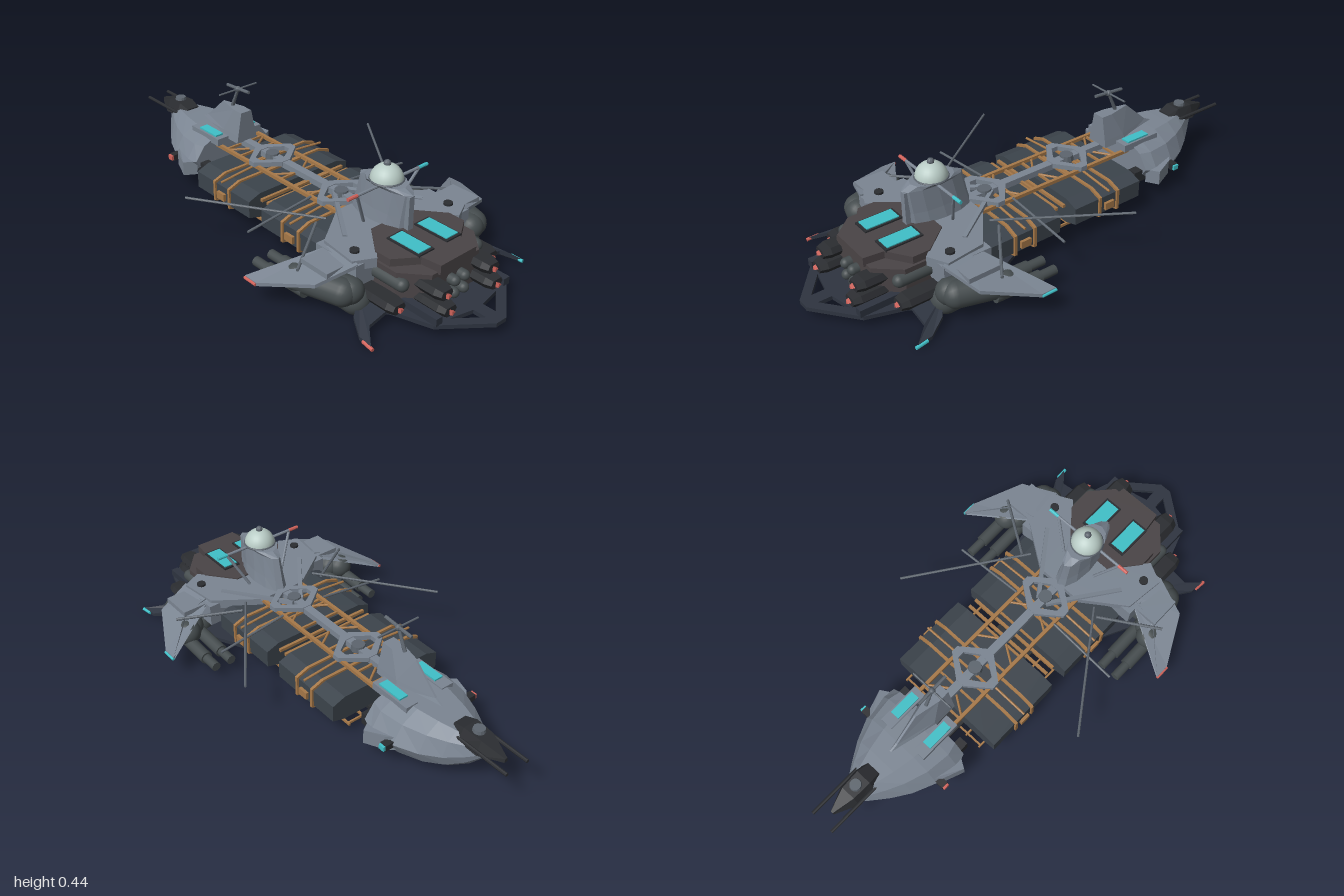
import * as THREE from 'three';

const mat = (c, flat = true) => new THREE.MeshStandardMaterial({ color: c, flatShading: flat });
const HULL = mat(0x7b8592), DECK = mat(0x4a4446), CARGO = mat(0x3c444c), ORANGE = mat(0xa67848),
  CYAN = mat(0x40c0c8), RED = mat(0xd0625a), BLACK = mat(0x2b2d31), PLATE = mat(0x2e3440),
  POD = mat(0x454c4e, false), DOME = mat(0xb9ccc6, false), STEEL = mat(0x5d656e);

export function createModel() {
  const root = new THREE.Group();
  const add = (name, geo, m) => {
    const mesh = new THREE.Mesh(geo, m);
    mesh.name = name;
    root.add(mesh);
    return mesh;
  };
  const box = (name, m, w, h, d, x, y, z) => add(name, new THREE.BoxGeometry(w, h, d).translate(x, y, z), m);
  // round bar between two points
  const rod = (name, m, a, b, r, r2 = r, sides = 8) => {
    const A = new THREE.Vector3(...a), B = new THREE.Vector3(...b);
    const mesh = add(name, new THREE.CylinderGeometry(r2, r, A.distanceTo(B), sides), m);
    mesh.position.copy(A).lerp(B, 0.5);
    mesh.quaternion.setFromUnitVectors(new THREE.Vector3(0, 1, 0), B.sub(A).normalize());
    return mesh;
  };
  // closed solid through equal-sized rings of [x, y, z]; faces always turned outward
  const loft = (name, m, rings) => {
    const n = rings[0].length, idx = [], pos = rings.flat(2);
    for (let r = 0; r < rings.length - 1; r++) for (let i = 0; i < n; i++) {
      const a = r * n + i, b = r * n + (i + 1) % n;
      idx.push(a, b, b + n, a, b + n, a + n);
    }
    const last = (rings.length - 1) * n;
    for (let i = 1; i < n - 1; i++) idx.push(0, i + 1, i, last, last + i, last + i + 1);
    const p = i => new THREE.Vector3().fromArray(pos, i * 3);
    let vol = 0;
    for (let i = 0; i < idx.length; i += 3) vol += p(idx[i]).dot(p(idx[i + 1]).cross(p(idx[i + 2])));
    if (vol < 0) idx.reverse();
    let g = new THREE.BufferGeometry();
    g.setAttribute('position', new THREE.Float32BufferAttribute(pos, 3));
    g.setIndex(idx);
    g = g.toNonIndexed();
    g.computeVertexNormals();
    return add(name, g, m);
  };
  // horizontal plate from an [x, z] outline
  const plate = (name, m, pts, y0, y1, holes = []) => {
    const v = l => l.map(q => new THREE.Vector2(...q));
    const s = new THREE.Shape(v(pts));
    holes.forEach(h => s.holes.push(new THREE.Path(v(h))));
    return add(name, new THREE.ExtrudeGeometry(s, { depth: y1 - y0, bevelEnabled: false })
      .rotateX(Math.PI / 2).translate(0, y1, 0), m);
  };
  const mirrored = half => [...half, ...half.slice().reverse().filter(q => q[0] !== 0).map(([x, ...r]) => [-x, ...r])];
  // thin fin: corners [x, y, z] given a thickness in y
  const fin = (name, m, pts, t, s) => loft(name, m, [t / 2, -t / 2].map(d => pts.map(([x, y, z]) => [x * s, y + d, z])));
  const capsule = (name, r, len, x, y, z, yaw = 0) => {
    const c = add(name, new THREE.CapsuleGeometry(r, len, 8, 20).rotateX(Math.PI / 2), POD);
    c.position.set(x, y, z);
    c.rotation.y = yaw;
  };

  // bow hull from cross-sections: z, half width, bottom, top
  const bowRing = mirrored([[0.42, 1], [0.78, 0.8], [1, 0.42], [0.85, 0.15], [0.5, 0]]);
  loft('bowHull', HULL, [[-0.45, 0.19, 0.07, 0.222], [-0.5, 0.205, 0.042, 0.225], [-0.6, 0.19, 0.038, 0.225],
    [-0.69, 0.15, 0.042, 0.222], [-0.76, 0.105, 0.06, 0.218], [-0.82, 0.06, 0.1, 0.212], [-0.86, 0.03, 0.145, 0.2]]
    .map(([z, w, b, t]) => bowRing.map(([x, y]) => [x * w, b + y * (t - b), z])));
  // bow weapon mount
  loft('bowTurret', BLACK, [[-0.73, 0.045, 0.2, 0.225], [-0.78, 0.055, 0.19, 0.24], [-0.86, 0.05, 0.18, 0.235], [-0.95, 0.008, 0.19, 0.205]]
    .map(([z, w, b, t]) => [[w, b, z], [w * 0.6, t, z], [-w * 0.6, t, z], [-w, b, z]]));
  add('turretCap', new THREE.CylinderGeometry(0.022, 0.026, 0.02, 12).translate(0, 0.24, -0.82), STEEL);
  // bow fin and mast
  const wedge = (y, w, za, zm, zf) => [[w, y, za], [w, y, zm], [0.004, y, zf], [-0.004, y, zf], [-w, y, zm], [-w, y, za]];
  loft('bowFin', HULL, [wedge(0.21, 0.05, -0.35, -0.46, -0.67), wedge(0.24, 0.045, -0.35, -0.45, -0.61), wedge(0.34, 0.026, -0.35, -0.4, -0.5)]);
  rod('mast', STEEL, [0, 0.34, -0.44], [0, 0.425, -0.4], 0.008, 0.006);
  rod('mastCrossbar', STEEL, [-0.095, 0.425, -0.4], [0.095, 0.425, -0.4], 0.004);
  rod('mastBoom', STEEL, [0, 0.432, -0.33], [0, 0.422, -0.47], 0.007);
  add('mastHub', new THREE.SphereGeometry(0.013, 10, 8).translate(0, 0.425, -0.4), STEEL);

  // cargo blocks and their straps
  const block = (name, m, z0, z1, g) => loft(name, m, [z0, z1].map(z =>
    mirrored([[0.2 + g, 0.175 + g], [0.255 + g, 0.155 + g], [0.255 + g, 0.085 - g], [0.2 + g, 0.07 - g]]).map(([x, y]) => [x, y, z])));
  [[-0.35, -0.02], [0.055, 0.38]].forEach(([a, b]) => {
    block('cargoBlock', CARGO, a, b, 0);
    const c = a < 0 ? -0.185 : 0.225;
    [-0.045, 0.045].forEach(d => block('cargoStrap', ORANGE, c + d - 0.006, c + d + 0.006, 0.008));
    for (const s of [-1, 1]) {
      box('strapBuckle', ORANGE, 0.012, 0.03, 0.045, s * 0.263, 0.115, c);
      rod('strapTie', ORANGE, [s * 0.26, 0.175, c], [s * 0.1, 0.19, c], 0.005);
    }
  });
  // lattice above and below the cargo
  for (const s of [-1, 1]) {
    box('upperRail', ORANGE, 0.014, 0.014, 0.86, s * 0.095, 0.194, 0);
    [0.05, 0.13, 0.2].forEach(x => box('lowerRail', ORANGE, 0.007, 0.01, 0.72, s * x, 0.061, -0.02));
    for (const z of [-0.36, -0.08, 0.11, 0.32])
      rod('latticeBrace', ORANGE, [s * 0.095, 0.193, z], [s * 0.02, 0.193, z + 0.05], 0.005);
  }
  for (let i = 0; i < 9; i++) {
    const z = -0.37 + i * 0.085;
    box('lowerRung', ORANGE, 0.4, 0.009, 0.007, 0, 0.061, z);
    box('upperRung', ORANGE, 0.19, 0.009, 0.009, 0, 0.191, z);
  }
  [0, 0.035].forEach(z => box('gapGirder', ORANGE, 0.42, 0.012, 0.012, 0, 0.155, z));
  box('keel', BLACK, 0.18, 0.014, 0.8, 0, 0.066, -0.1);
  // central spine with diamond frames
  box('spine', HULL, 0.034, 0.025, 0.78, 0, 0.2, -0.05);
  [-0.185, 0.22].forEach(z => {
    const diamond = (w, l) => [[w, z + 0.015], [0.02, z + l], [-0.02, z + l], [-w, z + 0.015], [-w, z - 0.015], [-0.02, z - l], [0.02, z - l], [w, z - 0.015]];
    plate('diamondFrame', HULL, diamond(0.11, 0.085), 0.195, 0.215, [diamond(0.075, 0.052)]);
    add('frameHub', new THREE.CylinderGeometry(0.027, 0.03, 0.024, 12).translate(0, 0.208, z), STEEL);
  });

  // stern body, shoulders and decks
  plate('sternBody', DECK, mirrored([[0.17, 0.36], [0.2, 0.45], [0.2, 0.7], [0.12, 0.79]]), 0.05, 0.178);
  plate('upperDeck', DECK, mirrored([[0.1, 0.48], [0.19, 0.59], [0.19, 0.66], [0.1, 0.72], [0.09, 0.8]]), 0.17, 0.208);
  plate('shoulderDeck', HULL, mirrored([[0.1, 0.3], [0.27, 0.42], [0.29, 0.58], [0.21, 0.62], [0.12, 0.52]]), 0.165, 0.203);
  const cut = [[0.025, 0.9], [0.12, 0.88], [0.025, 0.955]];
  plate('bottomPlate', PLATE, mirrored([[0.22, 0.24], [0.3, 0.4], [0.32, 0.62], [0.24, 0.72], [0.19, 0.87], [0.025, 1]]), 0.036, 0.052,
    [cut, cut.map(([x, z]) => [-x, z])]);
  // command tower with dome
  const oval = (y, w, z0, z1) => Array.from({ length: 12 }, (_, i) => {
    const a = i / 12 * Math.PI * 2;
    return [Math.cos(a) * w, y, (z0 + z1) / 2 + Math.sin(a) * (z1 - z0) / 2];
  });
  loft('commandTower', HULL, [oval(0.19, 0.054, 0.285, 0.56), oval(0.25, 0.045, 0.3, 0.565), oval(0.345, 0.036, 0.32, 0.575)]);
  loft('towerCap', HULL, [oval(0.345, 0.045, 0.32, 0.58), oval(0.362, 0.062, 0.36, 0.54)]);
  box('towerRib', HULL, 0.025, 0.15, 0.02, 0, 0.265, 0.565);
  add('dome', new THREE.SphereGeometry(0.062, 24, 10, 0, Math.PI * 2, 0, Math.PI / 2).translate(0, 0.36, 0.45), DOME);
  add('domeRing', new THREE.TorusGeometry(0.061, 0.005, 6, 24).rotateX(Math.PI / 2).translate(0, 0.363, 0.45), STEEL);
  add('domeKnob', new THREE.SphereGeometry(0.014, 10, 8).translate(0, 0.424, 0.45), STEEL);

  for (const s of [-1, 1]) {
    const LIGHT = s > 0 ? CYAN : RED;
    // bow fittings
    rod('bowBarrel', BLACK, [s * 0.05, 0.2, -0.77], [s * 0.05, 0.2, -1], 0.007);
    box('bowPanelFrame', HULL, 0.055, 0.03, 0.18, s * 0.085, 0.215, -0.49);
    box('bowPanel', CYAN, 0.038, 0.008, 0.11, s * 0.085, 0.233, -0.48);
    box('sideLightMount', BLACK, 0.05, 0.025, 0.03, s * 0.195, 0.115, -0.585);
    box('sideLight', LIGHT, 0.01, 0.02, 0.025, s * 0.224, 0.115, -0.585);
    fin('bowCheek', HULL, [[0.17, 0.11, -0.6], [0.2, 0.11, -0.57], [0.23, 0.1, -0.49], [0.18, 0.1, -0.46]], 0.06, s);
    box('cheekThruster', BLACK, 0.04, 0.05, 0.06, s * 0.15, 0.1, -0.44);
    // tower yard
    rod('towerYard', HULL, [0, 0.355, 0.46], [s * 0.16, 0.355, 0.46], 0.006);
    rod('yardLight', LIGHT, [s * 0.155, 0.355, 0.46], [s * 0.2, 0.355, 0.46], 0.007);
    rod('yardBrace', HULL, [s * 0.155, 0.352, 0.46], [s * 0.08, 0.205, 0.42], 0.006);
    // stern deck panels
    box('deckPanelFrame', BLACK, 0.075, 0.01, 0.155, s * 0.07, 0.209, 0.64);
    box('deckPanel', CYAN, 0.06, 0.008, 0.135, s * 0.07, 0.214, 0.64);
    add('deckHatch', new THREE.CylinderGeometry(0.018, 0.018, 0.012, 12).translate(s * 0.24, 0.206, 0.54), BLACK);
    box('shoulderBlock', HULL, 0.09, 0.09, 0.2, s * 0.245, 0.145, 0.5);
    box('deckPost', ORANGE, 0.02, 0.03, 0.02, s * 0.125, 0.185, 0.41);
    // wings swept toward the bow
    fin('wing', HULL, [[0.24, 0.195, 0.46], [0.38, 0.17, 0.44], [0.53, 0.105, 0.3], [0.53, 0.105, 0.36], [0.43, 0.15, 0.55], [0.28, 0.19, 0.6]], 0.014, s);
    rod('wingTip', LIGHT, [s * 0.531, 0.104, 0.3], [s * 0.531, 0.104, 0.36], 0.006);
    box('wingRoot', HULL, 0.1, 0.02, 0.13, s * 0.34, 0.178, 0.5);
    // lower fins
    fin('lowerFin', PLATE, [[0.27, 0.055, 0.6], [0.345, 0.035, 0.65], [0.385, 0.012, 0.72], [0.39, 0.01, 0.78], [0.34, 0.035, 0.72], [0.26, 0.055, 0.72]], 0.014, s);
    rod('lowerFinTip', LIGHT, [s * 0.388, 0.012, 0.74], [s * 0.392, 0.008, 0.79], 0.007);
    // pods and forward tubes
    capsule('sidePod', 0.052, 0.18, s * 0.365, 0.105, 0.5, -s * 0.3);
    capsule('sidePodInner', 0.05, 0.16, s * 0.335, 0.105, 0.52, -s * 0.3);
    capsule('lowerPod', 0.056, 0.09, s * 0.285, 0.057, 0.55);
    [0.33, 0.4].forEach(x => {
      rod('forwardTube', POD, [s * x, 0.065, 0.27], [s * x, 0.075, 0.47], 0.026, 0.026, 14);
      rod('tubeMuzzle', POD, [s * x, 0.064, 0.2], [s * x, 0.065, 0.28], 0.019, 0.019, 14);
    });
    // aerials and stays
    rod('longAerial', STEEL, [s * 0.17, 0.205, 0.32], [s * 0.475, 0.217, -0.12], 0.005);
    rod('crossAerial', STEEL, [s * 0.1, 0.2, 0.16], [s * 0.4, 0.165, 0.155], 0.005);
    rod('spineStay', HULL, [s * 0.02, 0.205, 0.2], [s * 0.2, 0.2, 0.45], 0.012, 0.012, 4);
    rod('lowStay', STEEL, [s * 0.2, 0.19, 0.3], [s * 0.42, 0.16, 0.45], 0.006);
    // engines: hooded nozzles with red cores
    [[0.12, 0.135, 0.86], [0.12, 0.08, 0.88], [0.24, 0.08, 0.76]].forEach(([x, y, z]) => {
      const ring = (k, zz) => [[-0.04, 0.003], [-0.028, 0.025], [0.028, 0.025], [0.04, 0.003], [0.022, -0.022], [-0.022, -0.022]]
        .map(([a, b]) => [s * x + a * k, y + b * k, zz]);
      loft('engineHousing', BLACK, [ring(0.9, z - 0.22), ring(1, z - 0.1), ring(1, z - 0.03), ring(0.75, z)]);
      const core = rod('engineCore', RED, [s * x, y, z - 0.05], [s * x, y, z + 0.012], 0.024, 0.01, 3);
      core.rotateY(Math.PI / 2);
    });
    [0.075, 0.125].forEach(y => capsule('fuelTank', 0.02, 0.1, s * 0.025, y, 0.76));
    capsule('exhaustPipe', 0.025, 0.12, s * 0.19, 0.135, 0.66);
    box('sternSkid', PLATE, 0.03, 0.03, 0.16, s * 0.175, 0.065, 0.8);
    box('bellyStripe', RED, 0.006, 0.003, 0.4, s * 0.07, 0.0355, 0.62);
  }
  return root;
}
